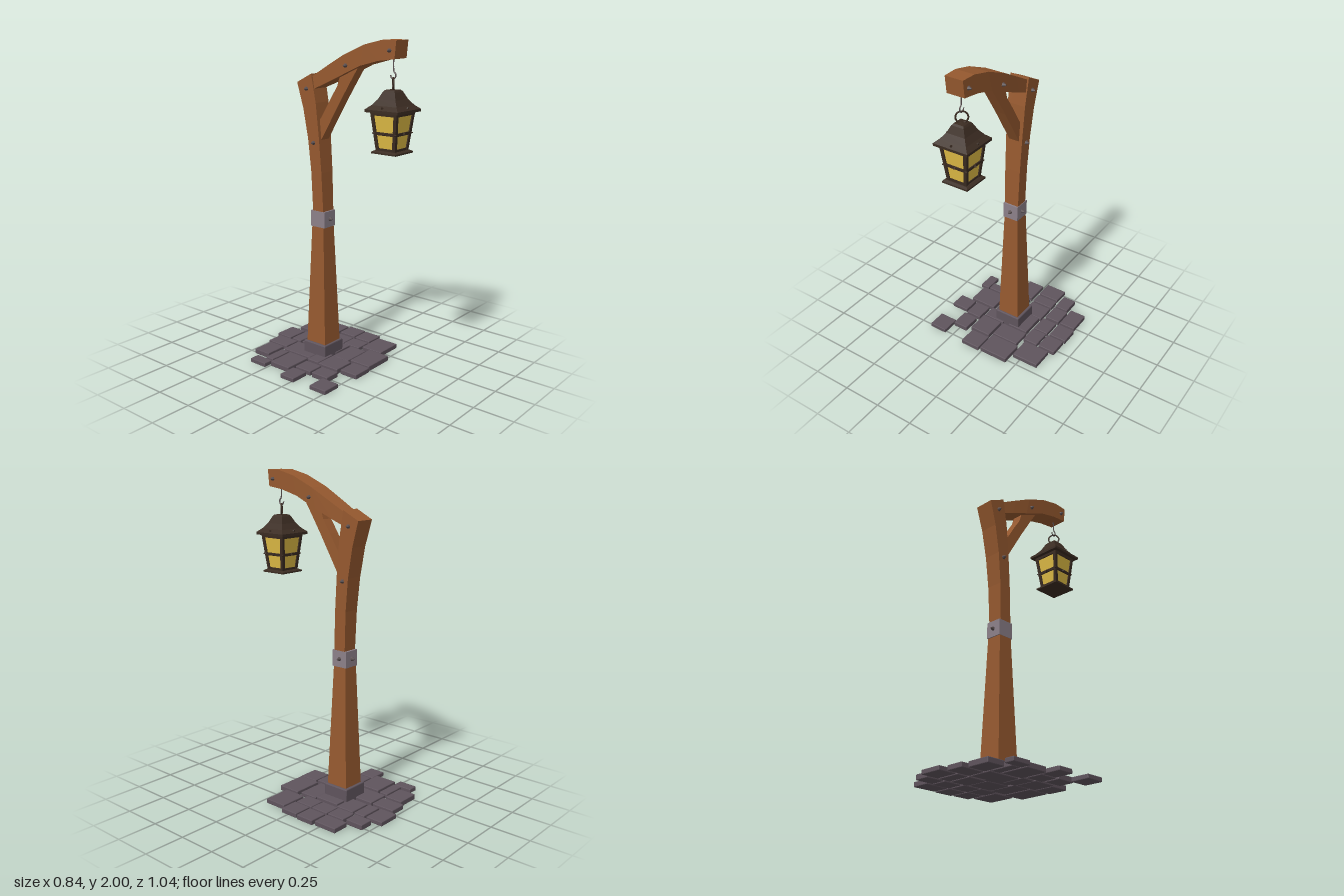
import * as THREE from 'three';
import { RoundedBoxGeometry } from 'three/addons/geometries/RoundedBoxGeometry.js';

const mat = (color) => new THREE.MeshStandardMaterial({ color, flatShading: true });

export function createModel() {
  const model = new THREE.Group();
  const wood = mat(0x96592f), stone = mat(0x5f545d), band = mat(0x8c8089);
  const iron = mat(0x3b2c22), bolt = mat(0x5a4f50), glass = mat(0xe0bc45);
  const CX = 0.005; // centre line of post, arm and lantern

  const add = (name, geometry, material, parent = model) => {
    const mesh = new THREE.Mesh(geometry, material);
    mesh.name = name;
    parent.add(mesh);
    return mesh;
  };

  // Timber from rectangular sections: [zA, yA, zB, yB, halfWidth]
  const timber = (name, rows) => {
    const pos = [], index = [];
    for (const [zA, yA, zB, yB, w] of rows)
      pos.push(w, yA, zA, w, yB, zB, -w, yB, zB, -w, yA, zA);
    for (let r = 0; r < rows.length - 1; r++)
      for (let i = 0; i < 4; i++) {
        const a = r * 4 + i, b = r * 4 + (i + 1) % 4;
        index.push(a, b, b + 4, a, b + 4, a + 4);
      }
    const e = (rows.length - 1) * 4;
    index.push(0, 2, 1, 0, 3, 2, e, e + 1, e + 2, e, e + 2, e + 3);
    const g = new THREE.BufferGeometry();
    g.setAttribute('position', new THREE.Float32BufferAttribute(pos, 3));
    g.setIndex(index);
    const flat = g.toNonIndexed();
    flat.computeVertexNormals();
    add(name, flat, wood).position.x = CX;
  };

  // Square-plan solid from a [halfWidth, y] profile, bottom to top
  const square = (name, profile, material, parent) => add(name, new THREE.LatheGeometry(
    profile.map(([h, y]) => new THREE.Vector2(h * Math.SQRT2, y)), 4, Math.PI / 4), material, parent);

  // Pointed bolt head facing along a direction
  const stud = (name, p, dir, size = 0.015, material = bolt, parent = model) => {
    const m = add(name, new THREE.CylinderGeometry(size * 0.25, size, size * 1.5, 6), material, parent);
    m.position.set(...p);
    m.quaternion.setFromUnitVectors(new THREE.Vector3(0, 1, 0), new THREE.Vector3(...dir));
  };

  // Paving: [xMin, xMax, zMin, zMax]
  const paving = new THREE.Group();
  paving.name = 'paving';
  model.add(paving);
  [
    [.02, .162, -.52, -.405], [-.106, .003, -.48, -.327], [-.267, -.123, -.45, -.333],
    [-.377, -.313, -.38, -.258], [-.305, -.156, -.317, -.258], [.186, .275, -.463, -.345],
    [.022, .167, -.392, -.317], [.297, .405, -.37, -.217], [.187, .288, -.333, -.214],
    [.025, .168, -.305, -.182], [-.14, 0, -.315, -.098], [-.338, -.16, -.243, -.096],
    [.178, .28, -.2, -.08], [.298, .416, -.203, -.083], [.02, .16, -.177, -.012],
    [-.42, -.302, -.087, .018], [-.287, -.184, -.082, .037], [-.164, -.02, -.092, -.004],
    [.176, .277, -.074, .047], [.291, .41, -.072, .047], [-.17, -.03, .002, .15],
    [-.02, .165, -.006, .114], [.2, .377, .06, .206], [-.293, -.193, .054, .175],
    [-.42, -.3, .147, .267], [-.15, -.02, .162, .283], [-.01, .187, .127, .275],
  ].forEach(([x0, x1, z0, z1], i) => {
    const h = 0.027 + (i % 3) * 0.003;
    add('pavingStone', new RoundedBoxGeometry(x1 - x0, h, z1 - z0, 1, 0.004), stone, paving)
      .position.set((x0 + x1) / 2, h / 2, (z0 + z1) / 2);
  });

  // Stone foot of the post
  add('postFoot', new RoundedBoxGeometry(0.176, 0.1, 0.176, 1, 0.006), stone).position.set(CX, 0.055, -0.106);

  // Post, tapering then leaning back at the top
  timber('post', [
    [-.03, .08, -.178, .08, .073], [-.06, .86, -.15, .86, .049], [-.062, .96, -.143, .96, .048],
    [-.072, 1.2, -.152, 1.2, .052], [-.088, 1.42, -.172, 1.4, .056],
    [-.108, 1.62, -.205, 1.58, .059], [-.14, 1.79, -.25, 1.735, .062],
  ]);
  // Arched arm, front end to post
  timber('arm', [
    [.463, 2, .453, 1.9, .057], [.37, 2, .345, 1.886, .06], [.25, 1.971, .22, 1.853, .063],
    [.1, 1.907, .07, 1.785, .064], [-.02, 1.842, -.05, 1.733, .058], [-.15, 1.77, -.18, 1.68, .05],
  ]);
  // Diagonal brace under the arm
  timber('brace', [
    [-.11, 1.36, -.13, 1.47, .034], [-.035, 1.485, -.07, 1.56, .034],
    [.055, 1.635, -.018, 1.645, .034], [.125, 1.745, .035, 1.725, .034], [.2, 1.86, .06, 1.8, .034],
  ]);

  // Metal band round the post, with studs on three sides
  add('postBand', new THREE.BoxGeometry(0.102, 0.1, 0.106), band).position.set(CX, 0.91, -0.104);
  stud('bandStud', [CX, .91, -.042], [0, 0, 1]);
  stud('bandStud', [CX, .91, -.166], [0, 0, -1]);
  stud('bandStud', [CX + .06, .91, -.104], [1, 0, 0]);

  // Studs on both sides of the timber joints: [y, z, halfWidth]
  for (const s of [-1, 1])
    for (const [y, z, w] of [[1.945, .42, .058], [1.85, .12, .064], [1.70, -.178, .061], [1.38, -.13, .056]])
      stud('jointStud', [CX + s * (w + .008), y, z], [s, 0, 0]);

  // Lantern hanging from the arm
  const lantern = new THREE.Group();
  lantern.name = 'lantern';
  lantern.position.set(CX, 0, 0.407);
  model.add(lantern);

  const hookPath = new THREE.CatmullRomCurve3([
    [1.92, 0], [1.86, 0], [1.83, .003], [1.815, .016], [1.797, .014], [1.788, 0], [1.796, -.014], [1.808, -.018],
  ].map(([y, z]) => new THREE.Vector3(0, y, z)));
  add('hook', new THREE.TubeGeometry(hookPath, 24, 0.004, 6), bolt, lantern);
  const ring = add('ring', new THREE.TorusGeometry(0.034, 0.005, 6, 20), iron, lantern);
  ring.position.y = 1.76;
  ring.rotation.y = Math.PI / 4.5;

  square('roof', [[0, 1.603], [.112, 1.607], [.112, 1.622], [.085, 1.645], [.06, 1.677],
    [.04, 1.718], [.032, 1.728], [0, 1.732]], iron, lantern);
  square('glass', [[.058, 1.39], [.082, 1.607]], glass, lantern);
  square('topRail', [[.08, 1.59], [.088, 1.59], [.09, 1.608]], iron, lantern);
  square('middleRail', [[.06, 1.48], [.075, 1.48], [.077, 1.497], [.06, 1.497]], iron, lantern);
  square('bottomRail', [[.062, 1.385], [.064, 1.405], [.055, 1.405]], iron, lantern);
  square('basePlate', [[0, 1.375], [.085, 1.375], [.085, 1.384], [.07, 1.392], [0, 1.392]], iron, lantern);

  // Slanted corner posts, with studs on every side
  for (let i = 0; i < 4; i++) {
    const side = new THREE.Group();
    side.name = 'lanternSide';
    side.rotation.y = i * Math.PI / 2;
    lantern.add(side);
    const low = new THREE.Vector3(.055, 1.385, .055), high = new THREE.Vector3(.08, 1.61, .08);
    const axis = high.clone().sub(low);
    const g = new THREE.BoxGeometry(0.02, axis.length(), 0.02);
    const post = add('cornerPost', g, iron, side);
    post.position.copy(low).add(high).multiplyScalar(0.5);
    post.quaternion.setFromUnitVectors(new THREE.Vector3(0, 1, 0), axis.normalize());
    stud('railStud', [0, 1.489, .081], [0, 0, 1], 0.009, iron, side);
    stud('cornerStud', [.077, 1.489, .077], [Math.SQRT1_2, 0, Math.SQRT1_2], 0.009, iron, side);
    stud('roofStud', [0, 1.637, .102], [0, 0.77, 0.64], 0.009, iron, side);
  }
  return model;
}
